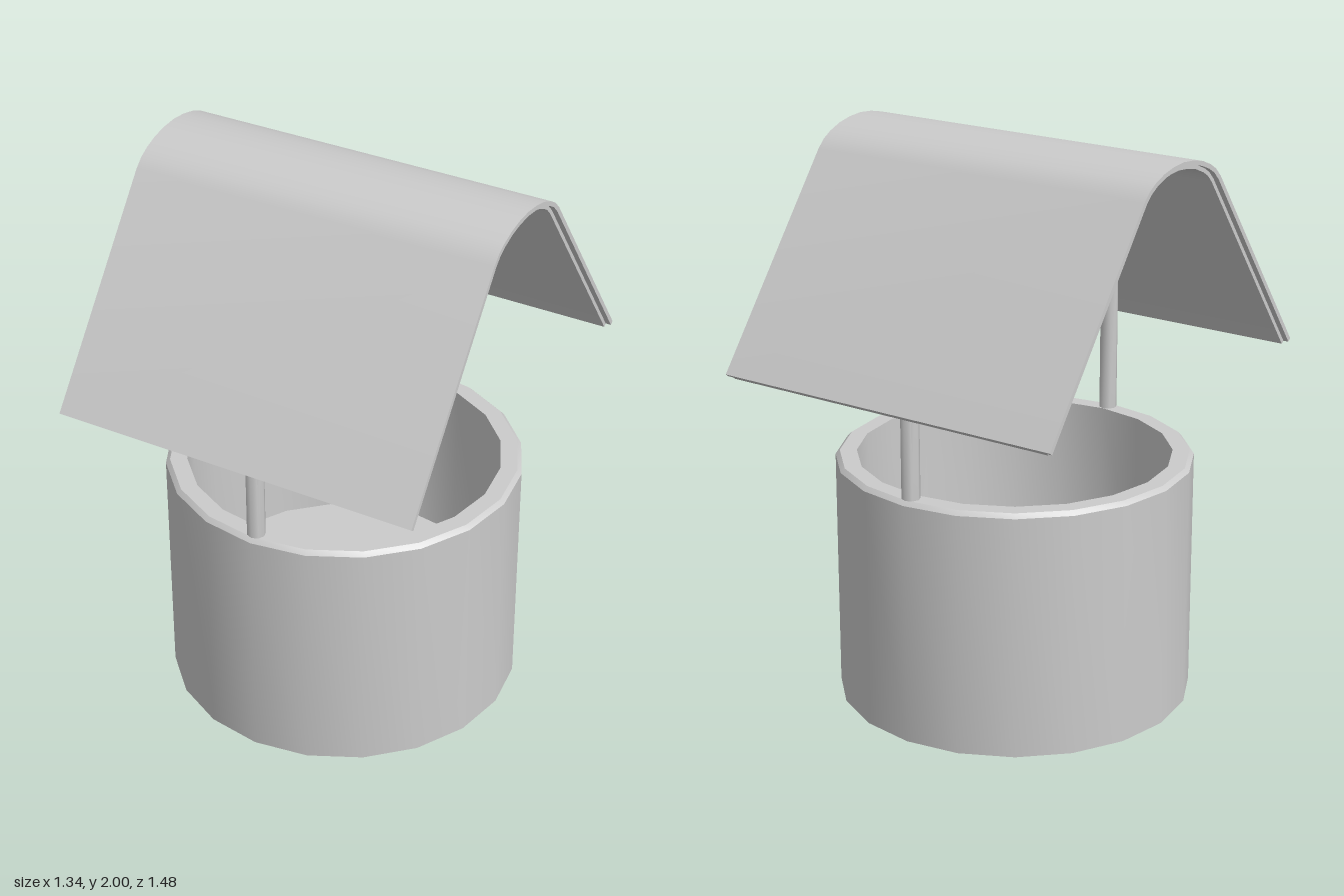
import * as THREE from 'three';
import { toCreasedNormals } from 'three/addons/utils/BufferGeometryUtils.js';

const material = new THREE.MeshStandardMaterial({ color: 0xcccccc, side: THREE.DoubleSide });
const SIDES = 20;

// Right half of the roof's outer curve, ridge to eave, as [z, y]
const half = [[0, 2], [0.06, 1.995], [0.115, 1.983], [0.165, 1.963], [0.2, 1.942], [0.23, 1.912], [0.742, 1.225]];

// The whole roof curve, moved inward by a distance
function roofCurve(inset) {
  const right = half.map(([z, y], i) => {
    const a = half[Math.max(i - 1, 0)], b = half[Math.min(i + 1, half.length - 1)];
    const n = new THREE.Vector2(b[1] - a[1], a[0] - b[0]).normalize();
    if (i === 0) n.set(0, -1);
    return new THREE.Vector2(z + n.x * inset, y + n.y * inset);
  });
  const left = right.slice(1).reverse().map(p => new THREE.Vector2(-p.x, p.y));
  return [...left, ...right];
}

// One bent sheet of the roof, running along x
function roofLayer(outer, inner, width) {
  const shape = new THREE.Shape([...roofCurve(outer), ...roofCurve(inner).reverse()]);
  const geometry = new THREE.ExtrudeGeometry(shape, { depth: width, bevelEnabled: false });
  geometry.translate(0, 0, -width / 2).rotateY(Math.PI / 2);
  return toCreasedNormals(geometry, 0.5);
}

export function createModel() {
  const model = new THREE.Group();
  model.name = 'well';
  const add = (name, geometry) => {
    const mesh = new THREE.Mesh(geometry, material);
    mesh.name = name;
    model.add(mesh);
    return mesh;
  };

  // Round wall with softened rim and a hollow shaft
  const profile = [[0.63, 0], [0.63, 0.865], [0.615, 0.88], [0.555, 0.88], [0.555, 0.26]]
    .map(([r, y]) => new THREE.Vector2(r, y));
  add('wall', toCreasedNormals(new THREE.LatheGeometry(profile, SIDES), 0.6));

  // Raised floor of the shaft
  const floor = new THREE.CircleGeometry(0.555, SIDES).rotateX(-Math.PI / 2);
  add('shaftFloor', floor.translate(0, 0.26, 0));

  // Posts, cut at the top to follow the slope of the roof
  for (const side of [1, -1]) {
    const geometry = new THREE.CylinderGeometry(0.032, 0.032, 0.53, 8).translate(0, 0.265, 0);
    const p = geometry.attributes.position;
    for (let i = 0; i < p.count; i++) {
      if (p.getY(i) > 0.1) p.setY(i, 0.53 - side * p.getZ(i) * 1.34);
    }
    const post = add(side > 0 ? 'frontPost' : 'backPost', toCreasedNormals(geometry, 0.9));
    post.position.set(0, 0.88, side * 0.588);
  }

  // Roof in two layers, the lower one slightly narrower
  add('roofCover', roofLayer(0, 0.016, 1.34));
  add('roofLining', roofLayer(0.016, 0.03, 1.3));

  return model;
}
